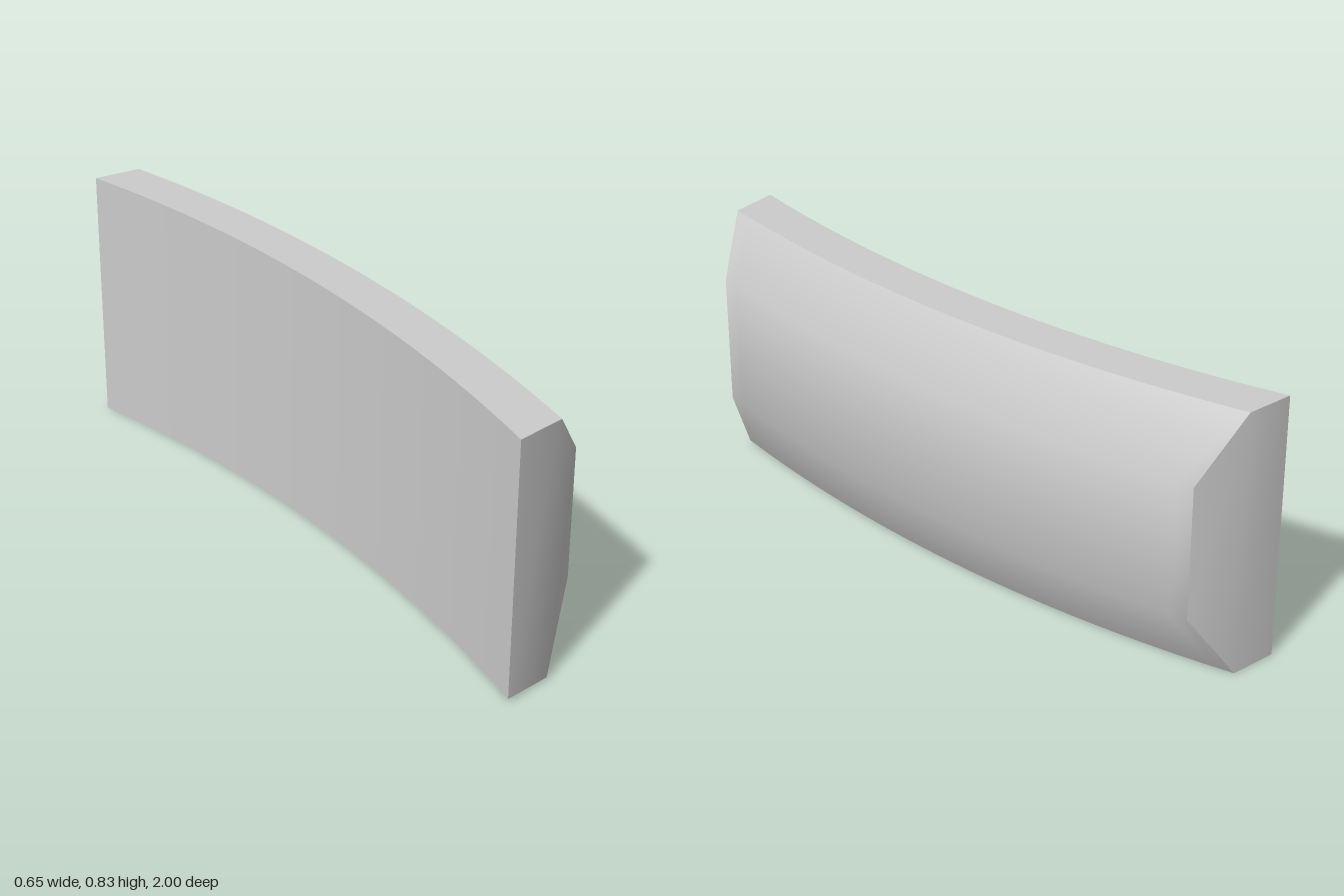
import * as THREE from 'three';
import { toCreasedNormals } from 'three/addons/utils/BufferGeometryUtils.js';

// Section corners, counter-clockwise seen from the front: [x, y, z] at each end
const BACK_END = [
  [0.07, 0, -1], [0.21, 0, -0.95], [0.325, 0.21, -0.85],
  [0.325, 0.63, -0.85], [0.21, 0.833, -0.95], [0.07, 0.833, -1],
];
const FRONT_END = [
  [-0.33, 0.01, 0.985], [-0.175, 0.005, 1], [-0.03, 0.245, 0.95],
  [-0.03, 0.66, 0.95], [-0.175, 0.83, 1], [-0.33, 0.83, 0.985],
];
const SEGMENTS = 32;
const APEX_Z = -0.85; // where the bend runs straight along z

// Point on one corner rail; x bends away from the apex
function railPoint(a, b, t) {
  const z = a[2] + (b[2] - a[2]) * t;
  const sq = (v) => (v - APEX_Z) ** 2;
  const bend = (sq(z) - sq(a[2])) / (sq(b[2]) - sq(a[2]));
  return [a[0] + (b[0] - a[0]) * bend, a[1] + (b[1] - a[1]) * t, z];
}

function curvedBlock() {
  const n = BACK_END.length;
  const positions = [];
  const index = [];
  const quad = (a, b, c, d) => index.push(a, b, c, a, c, d);

  for (let s = 0; s <= SEGMENTS; s++) {
    for (let i = 0; i < n; i++) positions.push(...railPoint(BACK_END[i], FRONT_END[i], s / SEGMENTS));
  }
  // Long sides
  for (let s = 0; s < SEGMENTS; s++) {
    for (let i = 0; i < n; i++) {
      const j = (i + 1) % n;
      const back = s * n;
      const front = back + n;
      quad(front + i, back + i, back + j, front + j);
    }
  }
  // End caps: a rectangle and a trapezoid each
  const f = SEGMENTS * n;
  quad(f, f + 1, f + 4, f + 5);
  quad(f + 1, f + 2, f + 3, f + 4);
  quad(5, 4, 1, 0);
  quad(4, 3, 2, 1);

  const geometry = new THREE.BufferGeometry();
  geometry.setAttribute('position', new THREE.Float32BufferAttribute(positions, 3));
  geometry.setIndex(index);
  return toCreasedNormals(geometry, 0.7);
}

export function createModel() {
  const group = new THREE.Group();
  group.name = 'curvedPanel';
  const grey = new THREE.MeshStandardMaterial({ color: 0xcccccc });
  grey.name = 'light grey';
  const block = new THREE.Mesh(curvedBlock(), grey);
  block.name = 'bevelledCurvedBlock';
  group.add(block);
  return group;
}
